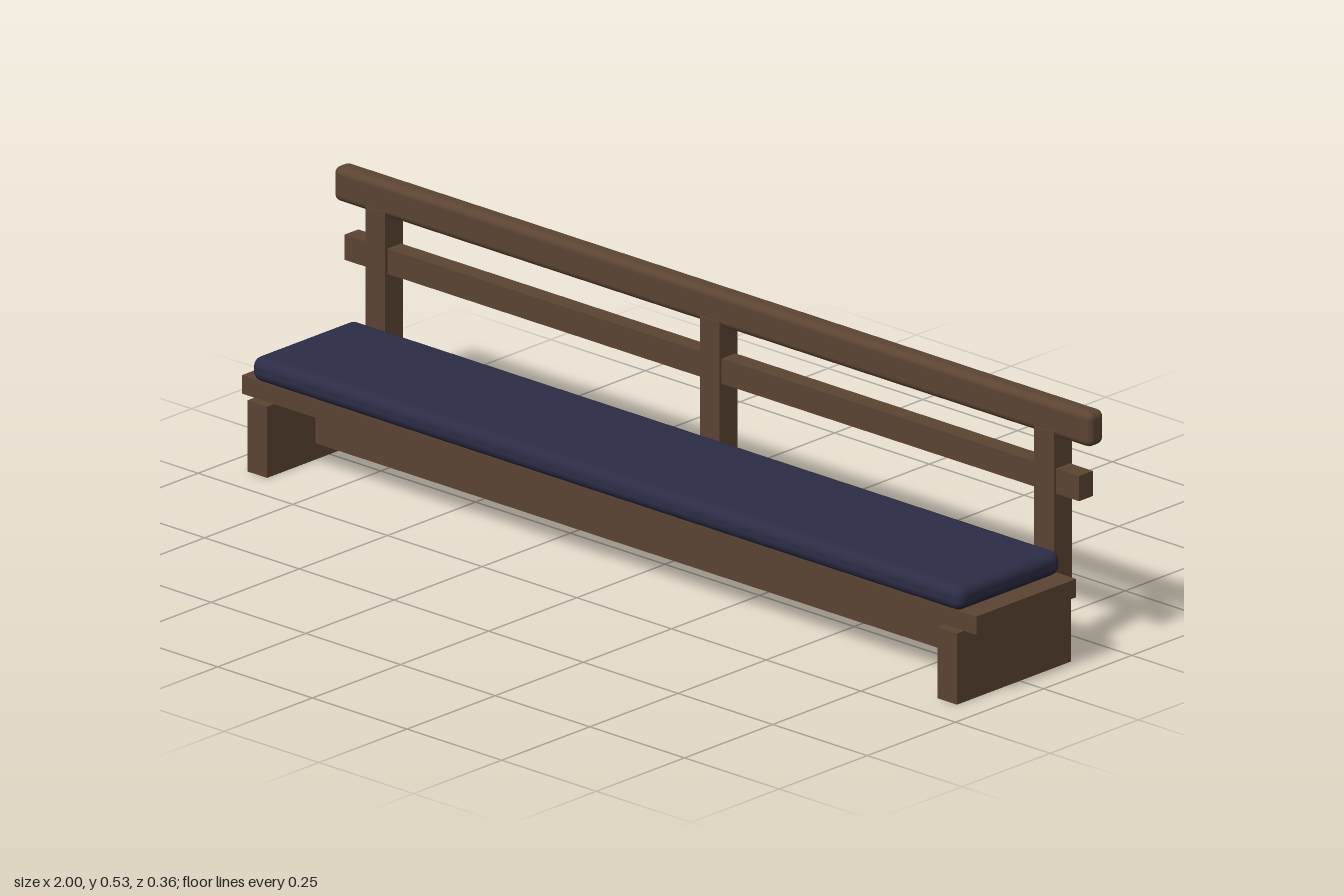
import * as THREE from 'three';
import { RoundedBoxGeometry } from 'three/addons/geometries/RoundedBoxGeometry.js';

export function createModel() {
  const bench = new THREE.Group();
  bench.name = 'bench';

  const wood = new THREE.MeshStandardMaterial({ color: 0x5c4433 });
  wood.name = 'brown wood';
  const fabric = new THREE.MeshStandardMaterial({ color: 0x2c2c46 });
  fabric.name = 'navy fabric';

  // Adds a box spanning the given ranges; a radius rounds its edges
  function block(name, material, [x0, x1], [y0, y1], [z0, z1], radius = 0) {
    const size = [x1 - x0, y1 - y0, z1 - z0];
    const geometry = radius
      ? new RoundedBoxGeometry(...size, 3, radius)
      : new THREE.BoxGeometry(...size);
    const mesh = new THREE.Mesh(geometry, material);
    mesh.name = name;
    mesh.position.set((x0 + x1) / 2, (y0 + y1) / 2, (z0 + z1) / 2);
    bench.add(mesh);
  }

  // Base: slab legs joined by a stretcher
  block('leftLeg', wood, [0.885, 0.937], [0, 0.147], [-0.145, 0.178]);
  block('rightLeg', wood, [-0.937, -0.885], [0, 0.147], [-0.145, 0.178]);
  block('stretcher', wood, [-0.885, 0.885], [0.034, 0.087], [-0.008, 0.041]);

  // Seat board and cushion
  block('seat', wood, [-0.97, 0.97], [0.147, 0.185], [-0.124, 0.158]);
  block('cushion', fabric, [-0.937, 0.937], [0.185, 0.236], [-0.122, 0.172], 0.021);

  // Backrest: three posts, a middle rail and a rounded top rail
  for (const [name, x] of [['leftPost', 0.883], ['middlePost', 0], ['rightPost', -0.883]]) {
    block(name, wood, [x - 0.026, x + 0.026], [0.147, 0.471], [-0.178, -0.127]);
  }
  block('middleRail', wood, [-0.97, 0.97], [0.343, 0.395], [-0.172, -0.133]);
  block('topRail', wood, [-1, 1], [0.458, 0.53], [-0.175, -0.13], 0.015);

  return bench;
}
